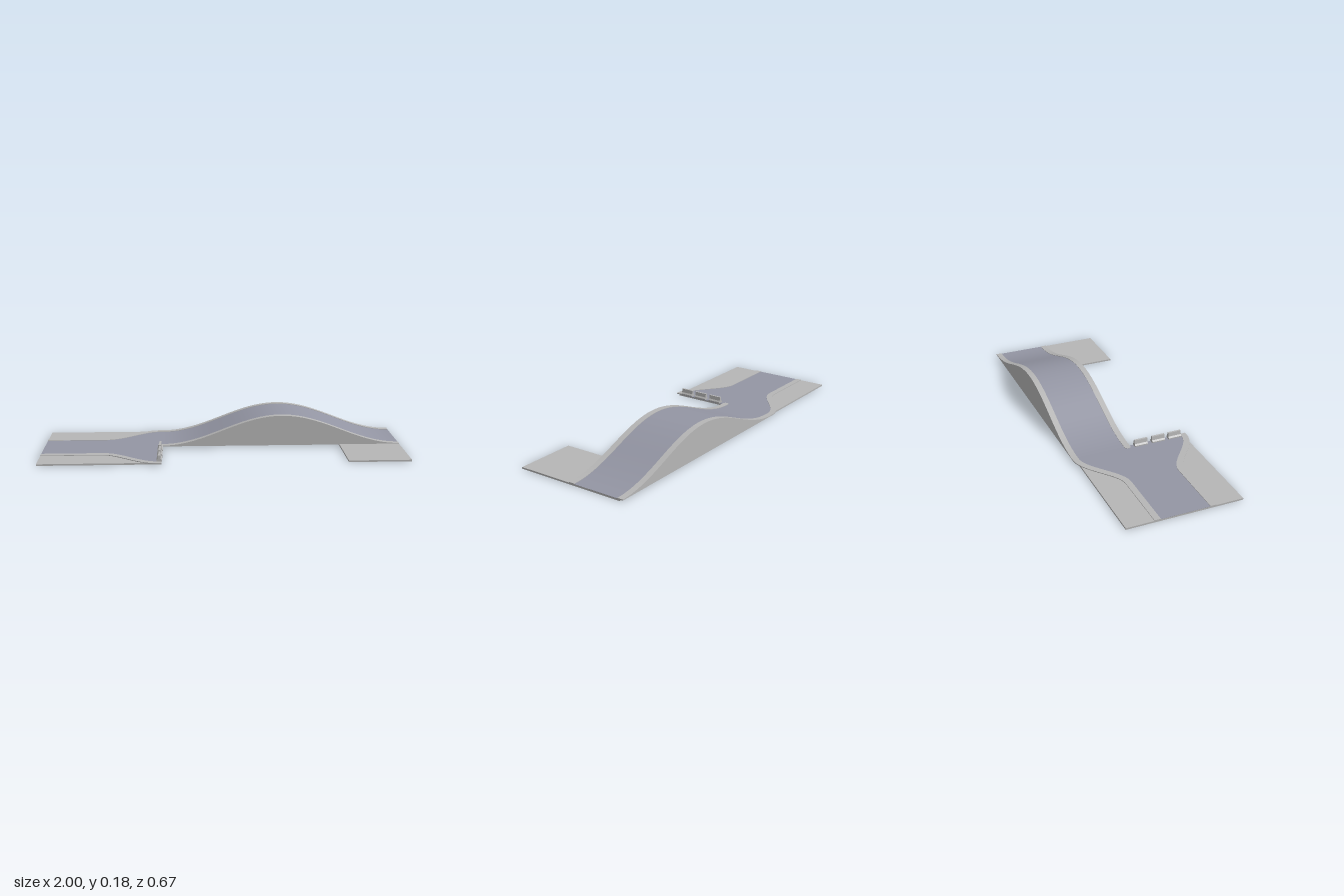
import * as THREE from 'three';
import { toCreasedNormals } from 'three/addons/utils/BufferGeometryUtils.js';

const concrete = new THREE.MeshStandardMaterial({ color: 0xb6b6b6 });
concrete.name = 'concrete';
const asphalt = new THREE.MeshStandardMaterial({ color: 0x9496a4 });
asphalt.name = 'asphalt';

const START = -0.34, CURB = 0.033, GROUND = 0.009, ROAD = 0.01, CURB_TOP = 0.0125;

export function createModel() {
  const model = new THREE.Group();

  const add = (name, geometry, material) => {
    const mesh = new THREE.Mesh(geometry, material);
    mesh.name = name;
    model.add(mesh);
    return mesh;
  };
  const extrude = (points, depth) => toCreasedNormals(
    new THREE.ExtrudeGeometry(new THREE.Shape(points), { depth, bevelEnabled: false }), 0.5);

  // Flat plate: points are (x, z), raised from y0 to y1
  const plate = (name, points, y0, y1, material) => {
    const geometry = extrude(points.map(([x, z]) => new THREE.Vector2(x, -z)), y1 - y0);
    geometry.rotateX(-Math.PI / 2).translate(0, y0, 0);
    return add(name, geometry, material);
  };
  const rect = (x0, x1, z0, z1) => [[x0, z0], [x1, z0], [x1, z1], [x0, z1]];

  // Ground slabs
  plate('entrySlab', rect(-1, START, -0.315, 0.315), 0, GROUND, concrete);
  plate('exitSlab', rect(0.66, 1, -0.315, 0.315), 0, GROUND, concrete);

  // Widening road: half width follows a smooth S-curve
  const halfWidth = (x) => {
    const t = THREE.MathUtils.clamp((x + 0.66) / 0.3, 0, 1);
    return 0.133 + 0.167 * t * t * (3 - 2 * t);
  };
  const inner = [[-1, 0.133]];
  for (let i = 0; i <= 24; i++) {
    const x = -0.66 + i * (START + 0.66) / 24;
    inner.push([x, halfWidth(x)]);
  }
  // Outer curb edge, offset along the normal of the road edge
  const outer = inner.map(([x, z]) => {
    const slope = (halfWidth(x + 0.002) - halfWidth(x - 0.002)) / 0.004;
    const k = CURB / Math.hypot(1, slope);
    return [x - slope * k, z + k];
  });
  const flip = (points) => points.map(([x, z]) => [x, -z]);
  plate('wideningRoad', [...inner, ...flip(inner).reverse()], 0.007, ROAD, asphalt);
  const curbOutline = [...inner, ...outer.slice().reverse()];
  plate('frontCurb', curbOutline, 0.007, CURB_TOP, concrete);
  plate('backCurb', flip(curbOutline), 0.007, CURB_TOP, concrete);

  // Rounded curb end where the hill road branches off
  const nose = [[START, 0], [START, -CURB]];
  for (let i = 0; i <= 10; i++) {
    const a = (i / 10) * Math.PI;
    nose.push([START - 0.01 - 0.0165 * Math.sin(a), -CURB / 2 - (CURB / 2) * Math.cos(a)]);
  }
  plate('curbNose', nose, 0.007, CURB_TOP, concrete);

  // Hill: the same rise profile is used for body, road and curbs
  const rise = (x) => 0.083 * (1 + Math.cos(Math.PI * (x - 0.33) / 0.67));
  const hillBand = (name, z0, z1, top, bottom, material) => {
    const upper = [], lower = [];
    for (let i = 0; i <= 56; i++) {
      const x = START + i * (1 - START) / 56;
      upper.push(new THREE.Vector2(x, rise(x) + top));
      lower.push(new THREE.Vector2(x, bottom(x)));
    }
    const geometry = extrude([...lower, ...upper.reverse()], z1 - z0);
    geometry.translate(0, 0, z0);
    add(name, geometry, material);
  };
  const flat = () => 0.0075;
  hillBand('hillBody', -0.3, -CURB, 0.0092, flat, concrete);
  hillBand('hillRoad', -0.3, -CURB, ROAD, (x) => rise(x) + 0.0085, asphalt);
  hillBand('hillCurbBack', -0.333, -0.3, CURB_TOP, flat, concrete);
  hillBand('hillCurbFront', -CURB, 0, CURB_TOP, flat, concrete);

  // Concrete barriers closing the dead end
  const profile = [[-0.0145, 0], [0.0145, 0], [0.0145, 0.006], [0.008, 0.014],
    [0.0055, 0.035], [-0.0055, 0.035], [-0.008, 0.014], [-0.0145, 0.006]]
    .map(([x, y]) => new THREE.Vector2(x, y));
  for (const z of [0.022, 0.124, 0.222]) {
    const barrier = add('barrier', extrude(profile, 0.075), concrete);
    barrier.position.set(-0.352, ROAD, z);
  }

  return model;
}
